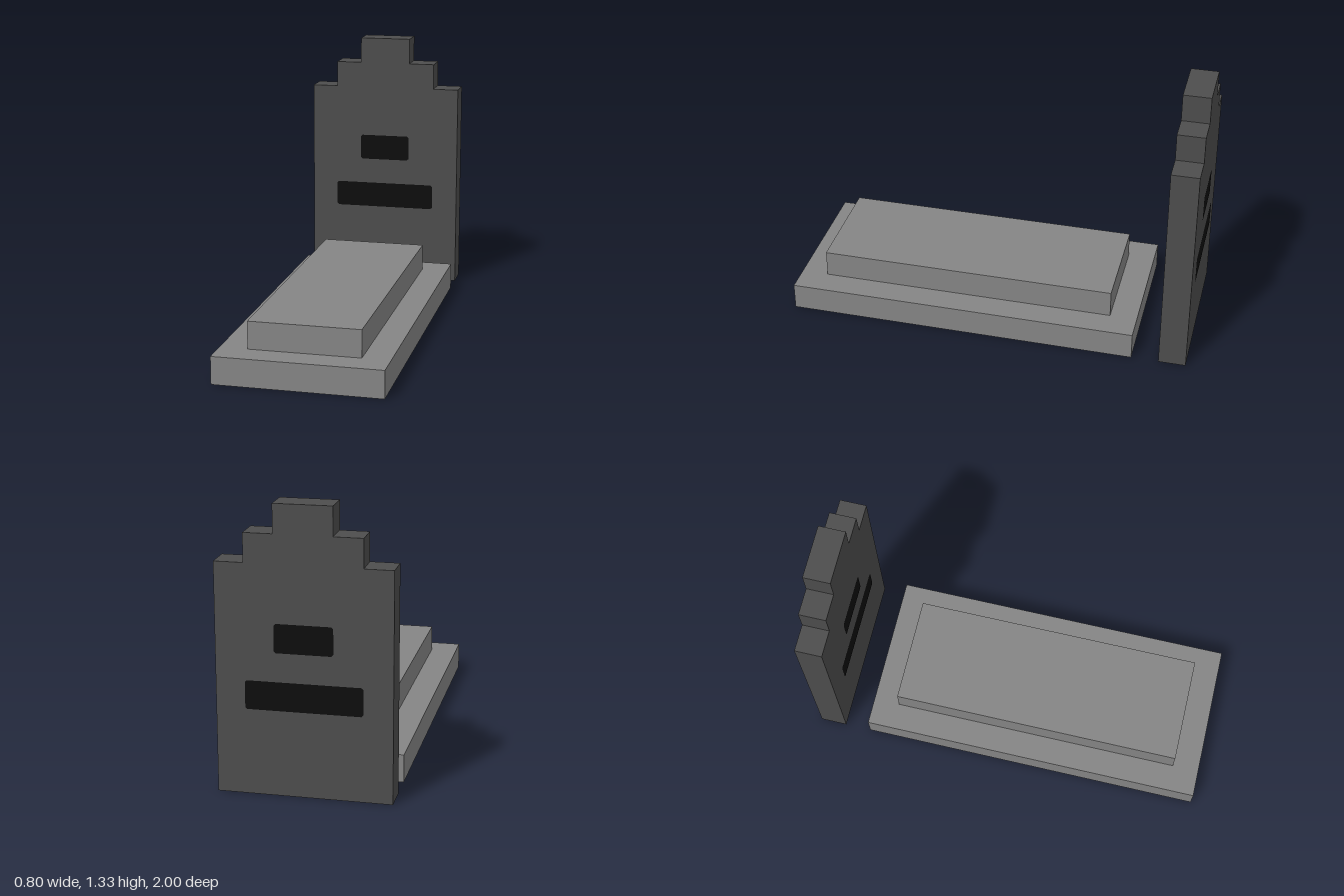
import * as THREE from 'three';

const U = 2 / 15; // grid unit shared by every part

const paleStone = new THREE.MeshStandardMaterial({ color: 0x858585 });
const darkStone = new THREE.MeshStandardMaterial({ color: 0x4d4d4d });
const blackInlay = new THREE.MeshStandardMaterial({ color: 0x0d0d0d });

function addMesh(parent, name, geometry, material, x, y, z) {
  const mesh = new THREE.Mesh(geometry, material);
  mesh.name = name;
  mesh.position.set(x, y, z);
  parent.add(mesh);
  return mesh;
}

// Flat bar with slightly clipped corners
function barGeometry(w, h, c = 0.009) {
  const a = w / 2, b = h / 2;
  const points = [
    [-a + c, -b], [a - c, -b], [a, -b + c], [a, b - c],
    [a - c, b], [-a + c, b], [-a, b - c], [-a, -b + c],
  ].map(([x, y]) => new THREE.Vector2(x, y));
  return new THREE.ShapeGeometry(new THREE.Shape(points));
}

export function createModel() {
  const model = new THREE.Group();
  model.name = 'grave';

  // Two-step slab on the ground
  addMesh(model, 'lowerSlab', new THREE.BoxGeometry(6 * U, U, 13 * U), paleStone, 0, U / 2, U);
  addMesh(model, 'upperSlab', new THREE.BoxGeometry(4 * U, U, 11 * U), paleStone, 0, 1.5 * U, U);

  // Headstone with a stepped top, mirrored outline
  const headstone = new THREE.Group();
  headstone.name = 'headstone';
  headstone.position.z = -7 * U;
  model.add(headstone);

  const right = [[3, 0], [3, 8], [2, 8], [2, 9], [1, 9], [1, 10]];
  const left = right.map(([x, y]) => [-x, y]).reverse();
  const outline = [...right, ...left].map(([x, y]) => new THREE.Vector2(x * U, y * U));
  const body = new THREE.ExtrudeGeometry(new THREE.Shape(outline), { depth: U, bevelEnabled: false });
  addMesh(headstone, 'headstoneBody', body, darkStone, 0, 0, -U / 2);

  // Dark bars on both faces
  for (const side of [1, -1]) {
    const face = side > 0 ? 'front' : 'back';
    for (const [name, width, y] of [['UpperBar', 2, 5.5], ['LowerBar', 4, 3.5]]) {
      const bar = addMesh(headstone, face + name, barGeometry(width * U, U), blackInlay,
        0, y * U, side * (U / 2 + 0.002));
      if (side < 0) bar.rotation.y = Math.PI;
    }
  }

  return model;
}
